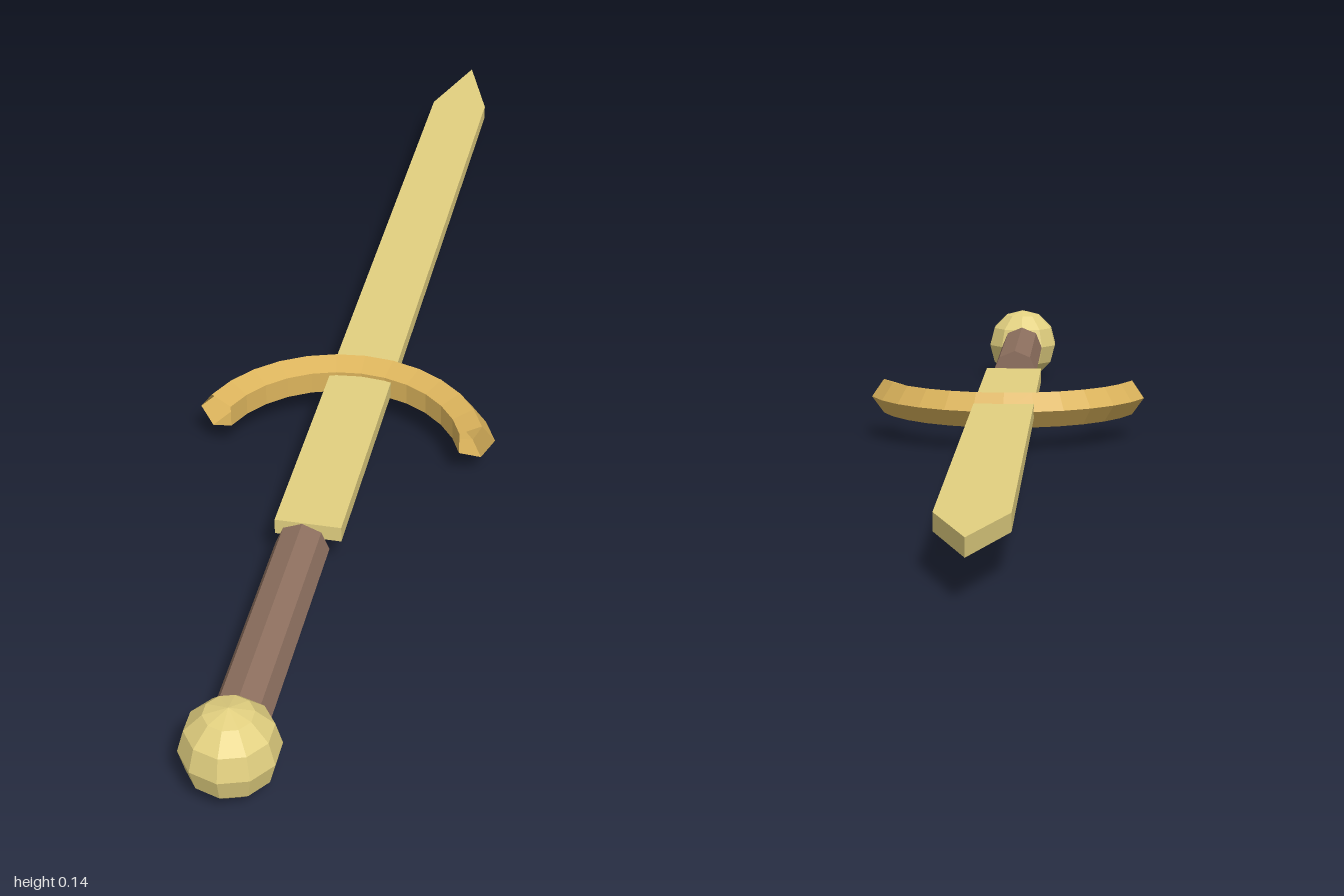
import * as THREE from 'three';

const AXIS_Y = 0.07; // height of the sword's centre line

function part(name, geometry, color, z, side = THREE.FrontSide) {
  const material = new THREE.MeshStandardMaterial({ color, flatShading: true, side });
  const mesh = new THREE.Mesh(geometry, material);
  mesh.name = name;
  mesh.position.set(0, AXIS_Y, z);
  return mesh;
}

export function createModel() {
  const sword = new THREE.Group();
  sword.name = 'sword';

  // Blade: flat slab with a pointed tip towards -z
  const half = 0.05, thickness = 0.025;
  const outline = new THREE.Shape([
    [-half, -0.475], [half, -0.475], [half, 0.85], [0, 1], [-half, 0.85],
  ].map(([x, y]) => new THREE.Vector2(x, y)));
  const blade = new THREE.ExtrudeGeometry(outline, { depth: thickness, bevelEnabled: false });
  blade.translate(0, 0, -thickness / 2).rotateX(-Math.PI / 2);
  sword.add(part('blade', blade, 0xe2d080, 0));

  // Guard: open-ended five-sided arc curving towards the grip
  const start = THREE.MathUtils.degToRad(19);
  const guard = new THREE.TorusGeometry(0.217, 0.031, 5, 12, Math.PI - 2 * start);
  guard.rotateZ(start).rotateX(-Math.PI / 2);
  sword.add(part('guard', guard, 0xdcb45c, 0.283, THREE.DoubleSide));

  // Grip: eight-sided rod running into the pommel
  const grip = new THREE.CylinderGeometry(0.04, 0.04, 0.4, 8);
  grip.rotateX(Math.PI / 2);
  sword.add(part('grip', grip, 0x8f7160, 0.71));

  // Pommel: faceted ball with a corner facing the front
  const pommel = new THREE.SphereGeometry(0.069, 10, 6);
  pommel.rotateY(Math.PI / 2);
  sword.add(part('pommel', pommel, 0xe2d080, 0.931));

  return sword;
}
